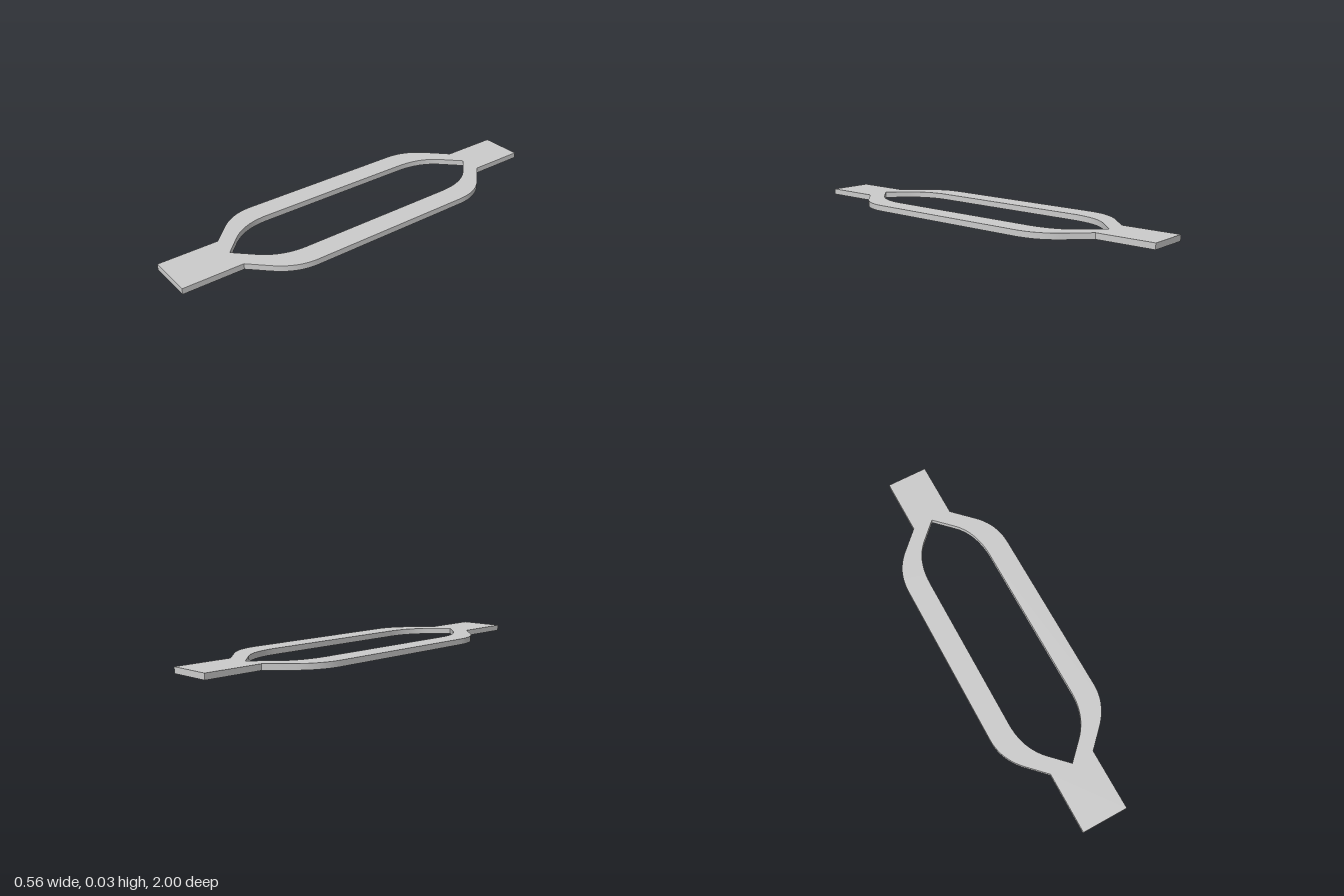
import * as THREE from 'three';
import { toCreasedNormals } from 'three/addons/utils/BufferGeometryUtils.js';

const THICKNESS = 0.0286;

// Shoulder curve: a 45 degree slant from (x0, z0) easing into a straight side at x1
function shoulder(x0, z0, x1, zEnd, slant) {
  const run = (x1 - x0) * slant;
  const a = new THREE.Vector2(x0 + run, z0 - run);
  const corner = new THREE.Vector2(x1, z0 - (x1 - x0));
  const b = new THREE.Vector2(x1, zEnd);
  const curve = new THREE.QuadraticBezierCurve(a, corner, b);
  return [new THREE.Vector2(x0, z0), ...curve.getPoints(10)];
}

const flip = (pts, sx, sy) => pts.map((p) => new THREE.Vector2(p.x * sx, p.y * sy));

// Full loop from the back and front shoulders on one side, mirrored across x
function loop(back, front) {
  const side = [...flip(front, 1, -1), ...back.slice().reverse()];
  return [...side, ...flip(side, -1, 1).reverse()];
}

export function createModel() {
  const group = new THREE.Group();

  // Outline: frame sides plus the end tabs (shape +y points to the back)
  const backOuter = [...shoulder(0.103, 0.714, 0.28, 0.42, 0.55).reverse(), new THREE.Vector2(0.103, 1)].reverse();
  const frontOuter = [new THREE.Vector2(0.113, 1), ...shoulder(0.113, 0.704, 0.28, 0.43, 0.5)];
  const outline = new THREE.Shape(loop(backOuter, frontOuter));

  // Long pointed opening; the tips lie on the centre line
  const backInner = shoulder(0, 0.714, 0.167, 0.4, 0.52);
  const frontInner = shoulder(0, 0.708, 0.167, 0.41, 0.5);
  const side = [...flip(frontInner, 1, -1), ...backInner.slice().reverse()];
  const mirrored = flip(side.slice(1, -1), -1, 1).reverse();
  outline.holes.push(new THREE.Path([...side, ...mirrored]));

  const geometry = new THREE.ExtrudeGeometry(outline, { depth: THICKNESS, bevelEnabled: false });
  geometry.rotateX(-Math.PI / 2);

  const frame = new THREE.Mesh(
    toCreasedNormals(geometry, Math.PI / 7),
    new THREE.MeshStandardMaterial({ color: 0xcccccc })
  );
  frame.name = 'flatLoopFrame';
  group.add(frame);
  return group;
}
